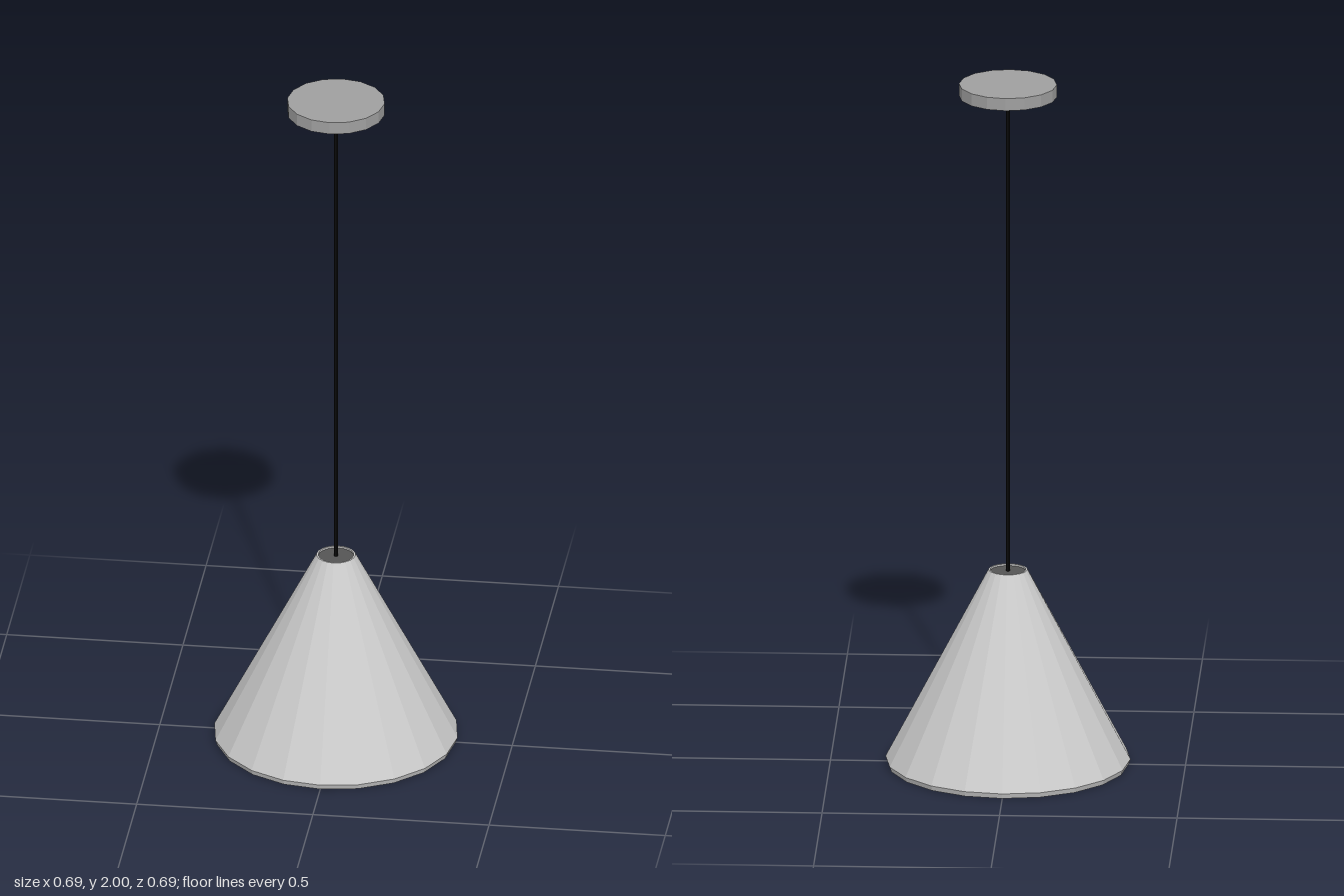
import * as THREE from 'three';

const material = (color) => new THREE.MeshStandardMaterial({ color, flatShading: true, side: THREE.DoubleSide });

export function createModel() {
  const group = new THREE.Group();
  const grey = material(0xcccccc);
  const canopyGrey = material(0xa0a0a0);
  const dark = material(0x555555);
  const black = material(0x111111);

  const add = (name, geometry, mat, y) => {
    const mesh = new THREE.Mesh(geometry, mat);
    mesh.name = name;
    mesh.position.y = y;
    group.add(mesh);
    return mesh;
  };

  // Conical shade with a small bevelled rim and a short inner lip
  const profile = [
    [0.325, 0.012], [0.33, 0], [0.34, 0], [0.345, 0.015], [0.055, 0.57], [0.05, 0.57], [0.05, 0.562],
  ].map(([r, y]) => new THREE.Vector2(r, y));
  add('shade', new THREE.LatheGeometry(profile, 20), grey, 0);

  // Recessed panel closing the underside
  add('diffuser', new THREE.CircleGeometry(0.325, 20).rotateX(Math.PI / 2), grey, 0.012);

  // Dark plug in the top of the shade
  add('shadeCap', new THREE.CircleGeometry(0.05, 20).rotateX(-Math.PI / 2), dark, 0.565);

  // Hanging cord
  add('cord', new THREE.CylinderGeometry(0.005, 0.005, 1.4, 8), black, 1.265);

  // Ceiling canopy
  add('canopy', new THREE.CylinderGeometry(0.138, 0.138, 0.036, 16), canopyGrey, 1.982);

  return group;
}
